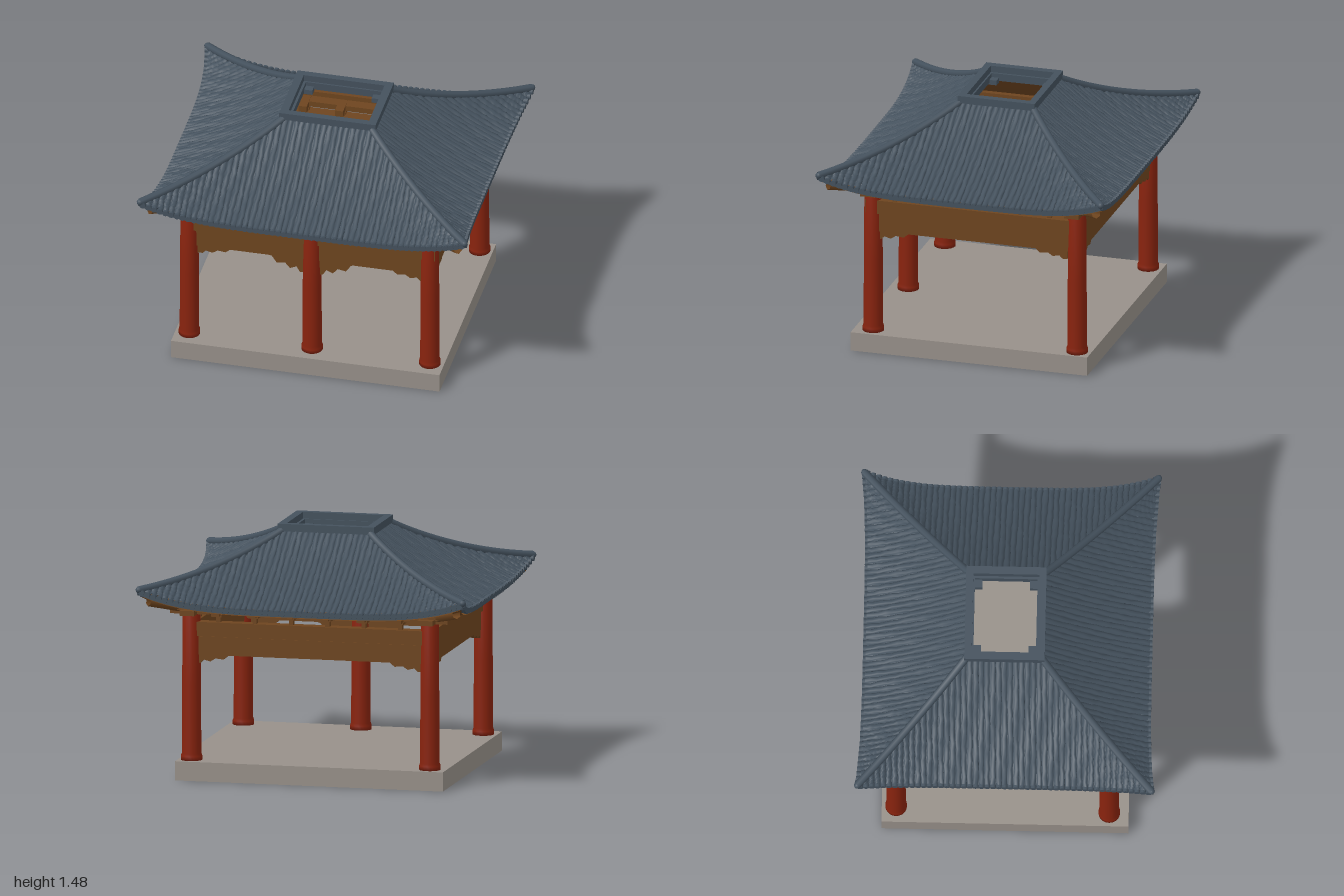
import * as THREE from 'three';
import { mergeGeometries } from 'three/addons/utils/BufferGeometryUtils.js';

const mat = (name, color, side = THREE.FrontSide) => {
  const m = new THREE.MeshStandardMaterial({ color, side });
  m.name = name;
  return m;
};

// Grid surface from a rule f(i, j) -> Vector3
function gridSurface(f, nu, nv) {
  const pos = [], idx = [];
  for (let i = 0; i <= nu; i++) for (let j = 0; j <= nv; j++) pos.push(...f(i, j).toArray());
  for (let i = 0; i < nu; i++) for (let j = 0; j < nv; j++) {
    const a = i * (nv + 1) + j, b = a + nv + 1;
    idx.push(a, a + 1, b, b, a + 1, b + 1);
  }
  const g = new THREE.BufferGeometry();
  g.setAttribute('position', new THREE.Float32BufferAttribute(pos, 3));
  g.setIndex(idx);
  g.computeVertexNormals();
  return g;
}

// Roof sides: half width at top/eave, depth at top / eave middle / eave corner
const FRONT = { a0: 0.27, a1: 0.985, d0: 0.225, dm: 0.84, dc: 0.87, colW: 0.73, colD: 0.63 };
const SIDE = { a0: 0.225, a1: 0.87, d0: 0.27, dm: 0.93, dc: 0.985, colW: 0.63, colD: 0.73 };
const sides = [FRONT, SIDE, FRONT, SIDE];

// Turn a (lateral, y, depth) point to side q: 0 front, 1 right, 2 back, 3 left
function turn(q, s, y, d) {
  return [new THREE.Vector3(s, y, d), new THREE.Vector3(d, y, -s),
    new THREE.Vector3(-s, y, -d), new THREE.Vector3(-d, y, s)][q];
}

// Concave slope with lifted, flared corners; w runs from top (0) to eave (1)
function roofPoint(q, s, w, dy = 0) {
  const R = sides[q], u4 = Math.min(1, Math.abs(s) / (R.a0 + (R.a1 - R.a0) * w)) ** 4;
  const y = 1.43 - 0.5 * w + 0.12 * w * w + 0.1 * w ** 1.5 * u4;
  const d = R.d0 + (R.dm - R.d0) * w + (R.dc - R.dm) * w * u4;
  const p = turn(q, s, y + dy, d);
  p.z -= 0.015 * (1 - w);
  return p;
}

const wobble = (a, b) => Math.sin(a * 12.9 + b * 2.3) * Math.sin(a * 4.1 - b * 1.7);

export function createModel() {
  const model = new THREE.Group();
  model.name = 'pavilion';
  const slate = mat('slate tile', 0x44515d, THREE.DoubleSide);
  const wood = mat('brown timber', 0x6e451f, THREE.DoubleSide);
  const red = mat('red lacquer', 0x88230e);
  const stone = mat('grey stone', 0x979089);

  const add = (name, geo, material, parent = model) => {
    const m = new THREE.Mesh(geo, material);
    m.name = name;
    parent.add(m);
    return m;
  };
  const box = (w, h, d, x, y, z) => new THREE.BoxGeometry(w, h, d).translate(x, y, z);

  add('stonePlatform', box(1.63, 0.115, 1.46, -0.015, 0.0575, 0), stone);

  // Columns with a foot ring
  const columnProfile = [[0, 0], [0.064, 0], [0.064, 0.025], [0.058, 0.04], [0.056, 0.45], [0.053, 0.9], [0, 0.9]]
    .map(p => new THREE.Vector2(...p));
  const corners = [[-0.745, 0.615], [0.715, 0.615], [0.72, -0.645], [-0.73, -0.645]];
  for (const [x, z] of [...corners, [0, 0.615]]) {
    add('column', new THREE.LatheGeometry(columnProfile, 20), red).position.set(x, 0.115, z);
    const k = x === 0 ? 0.7 : 1;
    add('columnCapital', mergeGeometries([
      box(0.24 * k, 0.03, 0.09, x, 1.01, z), box(0.09, 0.03, 0.24 * k, x, 1.01, z),
      box(0.14, 0.04, 0.14, x, 1.04, z),
    ]), wood);
  }

  // Tie beams, carved brackets and small struts
  const bracketEdge = [[0, 0.7], [0.03, 0.7], [0.05, 0.72], [0.09, 0.71], [0.12, 0.73], [0.17, 0.725], [0.2, 0.75], [0.26, 0.76]];
  const bracket = (x, dir, drop) => {
    const s = new THREE.Shape();
    s.moveTo(x, 0.78);
    for (const [px, py] of bracketEdge) s.lineTo(x + dir * px, 0.76 - (0.76 - py) * drop);
    s.lineTo(x + dir * 0.26, 0.78);
    s.closePath();
    return new THREE.ExtrudeGeometry(s, { depth: 0.04, bevelEnabled: false }).translate(0, 0, -0.02);
  };
  sides.forEach((R, q) => {
    const frieze = new THREE.Group();
    frieze.name = ['front', 'right', 'back', 'left'][q] + 'Frieze';
    const c = R.colW, len = 2 * c;
    add('lowerBeam', box(len, 0.11, 0.05, 0, 0.805, 0), wood, frieze);
    add('upperBeam', box(len + 0.05, 0.085, 0.07, 0, 0.905, 0), wood, frieze);
    add('eavePurlin', box(len + 0.16, 0.035, 0.07, 0, 1.015, 0), wood, frieze);
    add('endBracket', bracket(-c + 0.04, 1, 1), wood, frieze);
    add('endBracket', bracket(c - 0.04, -1, 1), wood, frieze);
    if (q === 0) for (const d of [1, -1]) add('middleBracket', bracket(d * 0.04, d, 1.75), wood, frieze);
    for (let i = -2.5; i <= 2.5; i++) {
      const x = i * len / 6.6;
      add('strut', mergeGeometries([
        box(0.025, 0.06, 0.04, x, 0.973, 0), box(0.06, 0.015, 0.12, x, 0.992, 0),
        box(0.05, 0.04, 0.2, x, 1.015, 0),
      ]), wood, frieze);
    }
    frieze.position.copy(turn(q, 0, 0, R.colD - 0.01));
    if (q === 0 || q === 2) frieze.position.z = q ? -0.645 : 0.615;
    frieze.rotation.y = q * Math.PI / 2;
    model.add(frieze);
  });

  // Roof slopes
  const rib = [-1, -0.85, -0.5, 0, 0.5, 0.85];
  sides.forEach((R, q) => {
    const slope = new THREE.Group();
    slope.name = ['front', 'right', 'back', 'left'][q] + 'Slope';
    model.add(slope);
    const ribs = Math.round(2 * R.a1 / 0.034), pitch = 2 * R.a1 / ribs, rows = 16;
    // Round tile rows, cut off along the hips
    add('tileRows', gridSurface((i, j) => {
      const n = Math.floor(i / 6), t = rib[i % 6];
      const s = Math.min(R.a1, -R.a1 + (n + (t + 1) / 2) * pitch);
      const w0 = Math.max(0, (Math.abs(s) - R.a0) / (R.a1 - R.a0));
      const w = w0 + (1 - w0) * j / rows;
      const inside = j > 0 && i > 0 && i < ribs * 6 ? 1 : 0;
      const h = Math.sqrt(1 - t * t) * 0.017 + inside * 0.004 * wobble(i, j);
      return roofPoint(q, s + inside * 0.005 * wobble(n + 3, j), w, h);
    }, ribs * 6, rows), slate, slope);

    // Round tile ends along the eave
    const caps = [];
    for (let n = 0; n < ribs; n++) {
      const p = roofPoint(q, -R.a1 + (n + 0.5) * pitch, 1, -0.002);
      caps.push(new THREE.CylinderGeometry(0.018, 0.018, 0.03, 10).rotateX(Math.PI / 2)
        .rotateY(q * Math.PI / 2).translate(p.x, p.y, p.z));
    }
    add('tileEnds', mergeGeometries(caps), slate, slope);

    // Eave edge, plank soffit and inner ceiling
    const lat = (i, w) => (i / 12 - 1) * (R.a0 + (R.a1 - R.a0) * w);
    add('eaveEdge', gridSurface((i, j) => roofPoint(q, lat(i, 1), 1, -0.025 * j), 24, 1), slate, slope);
    add('soffit', gridSurface((i, j) => {
      const inner = turn(q, (i / 12 - 1) * R.colW, 1.02, R.colD);
      return inner.lerp(roofPoint(q, lat(i, 1) * 0.985, 0.985, -0.035), 1 - j);
    }, 24, 1), wood, slope);
    add('ceiling', gridSurface((i, j) => {
      const w = 0.95 * (1 - j / 8);
      return roofPoint(q, lat(i, w), w, -0.035);
    }, 24, 8), wood, slope);

    // Hip ridge, upturned tip and hip rafter at this side's right-hand corner
    const hip = [];
    for (let k = 0; k <= 10; k++) {
      const w = k / 10;
      hip.push(roofPoint(q, R.a0 + (R.a1 - R.a0) * w, w, 0.008));
    }
    const curve = new THREE.CatmullRomCurve3(hip);
    add('hipRidge', new THREE.TubeGeometry(curve, 24, 0.023, 8), slate, slope);
    add('hipTip', new THREE.SphereGeometry(0.02, 10, 8), slate, slope).position.copy(hip[10]);
    const under = new THREE.CatmullRomCurve3(hip.slice(0, 10).map(p => p.clone().setY(p.y - 0.06)));
    add('innerHipRafter', new THREE.TubeGeometry(under, 16, 0.022, 4), wood, slope);
    const a = turn(q, R.colW - 0.03, 1.01, R.colD - 0.03);
    const b = hip[10].clone().multiplyScalar(0.95).setY(1.085);
    add('cornerRafter', new THREE.TubeGeometry(new THREE.LineCurve3(a, b), 1, 0.03, 6), wood, slope);

    // Ceiling purlin halfway up the slope
    const m = roofPoint(q, 0, 0.45, -0.06);
    add('ceilingPurlin', new THREE.BoxGeometry(2 * (R.a0 + (R.a1 - R.a0) * 0.45), 0.03, 0.035)
      .rotateY(q * Math.PI / 2).translate(m.x, m.y, m.z), wood, slope);
  });

  // Open frame at the roof top
  const frame = (w, d, iw, id, y, h) => {
    const rect = (P, x, z) => {
      const p = new P();
      p.moveTo(-x, -z); p.lineTo(x, -z); p.lineTo(x, z); p.lineTo(-x, z); p.closePath();
      return p;
    };
    const s = rect(THREE.Shape, w / 2, d / 2);
    s.holes.push(rect(THREE.Path, iw / 2, id / 2));
    return new THREE.ExtrudeGeometry(s, { depth: h, bevelEnabled: false })
      .rotateX(-Math.PI / 2).translate(0, y, -0.015);
  };
  add('topFrameCollar', frame(0.555, 0.455, 0.46, 0.37, 1.395, 0.045), slate);
  add('topFrame', frame(0.585, 0.475, 0.49, 0.39, 1.435, 0.045), slate);
  for (const x of [-0.205, 0.205]) for (const z of [-0.18, 0.15]) {
    add('frameCornerBlock', box(0.05, 0.03, 0.05, x, 1.4, z), slate);
  }
  return model;
}
